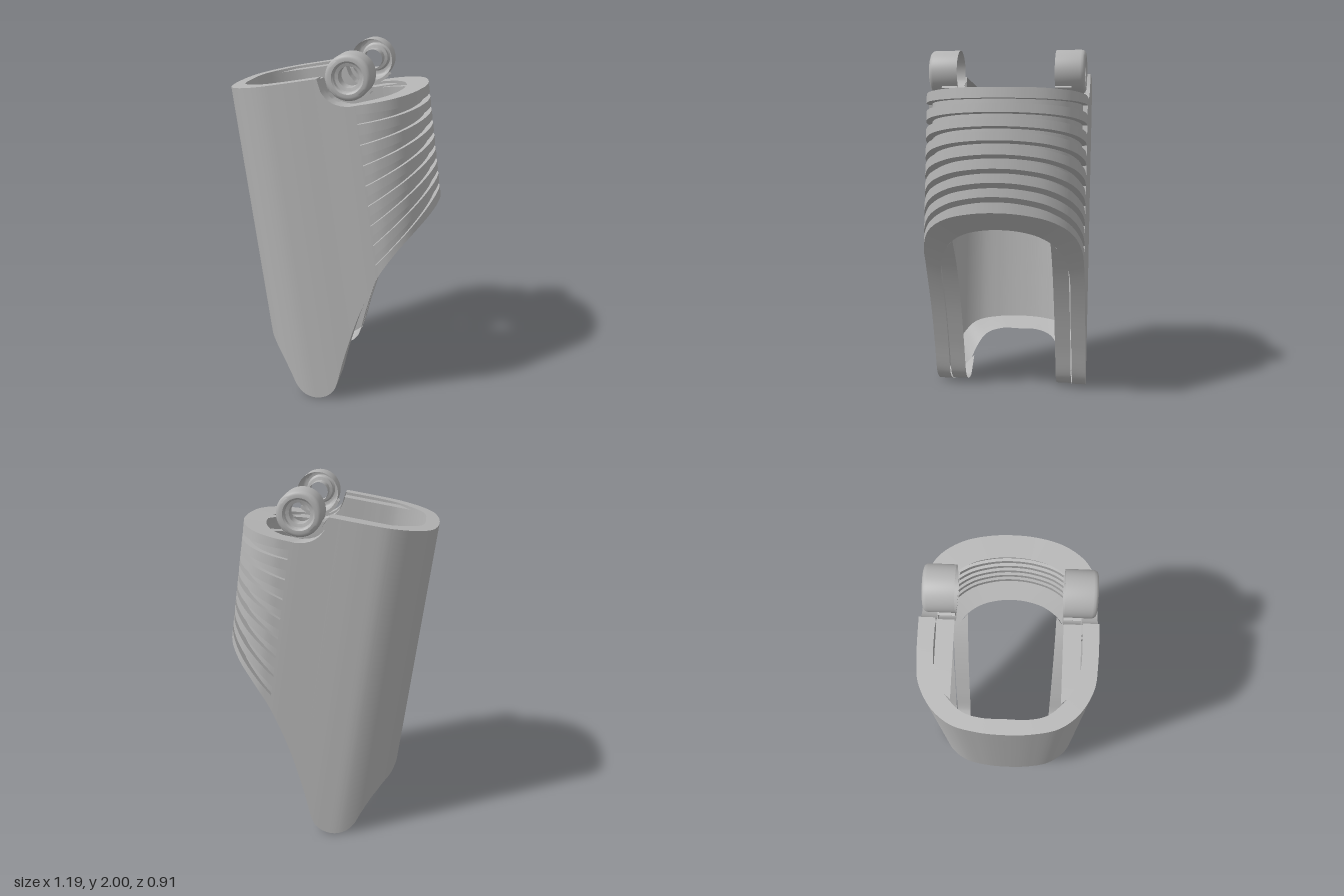
import * as THREE from 'three';
import { toCreasedNormals } from 'three/addons/utils/BufferGeometryUtils.js';

// The sleeve leans: x = u - LEAN * y, where u is constant along each wall line.
const LEAN = 0.138;
const lerp = THREE.MathUtils.lerp;

// Turns side-profile points (x, y) into a height function of u.
function heightOf(points, smooth) {
  const vs = points.map(([x, y]) => new THREE.Vector2(x + LEAN * y, y));
  const pts = smooth ? new THREE.SplineCurve(vs).getPoints(150) : vs;
  return (u) => {
    if (u <= pts[0].x) return pts[0].y;
    for (let i = 1; i < pts.length; i++) {
      const a = pts[i - 1], b = pts[i];
      if (u <= b.x) return lerp(a.y, b.y, (u - a.x) / (b.x - a.x || 1));
    }
    return pts[pts.length - 1].y;
  };
}

const rim = heightOf([
  [-0.6, 1.772], [-0.03, 1.87], [-0.022, 1.83], [-0.005, 1.795], [0.025, 1.762], [0.06, 1.742],
  [0.1, 1.732], [0.14, 1.73], [0.2, 1.742], [0.48, 1.79],
], false);
const hem = heightOf([
  [-0.4, 0.32], [-0.34, 0.285], [-0.3, 0.245], [-0.26, 0.198], [-0.21, 0.12], [-0.17, 0.05],
  [-0.12, 0.012], [-0.06, 0], [0, 0.012], [0.045, 0.045], [0.075, 0.1], [0.12, 0.28], [0.2, 0.54],
  [0.3, 0.775], [0.4, 0.93], [0.5, 1.045], [0.59, 1.13],
], true);

// Half cross-sections (u, z), from the back round to the ribbed face
const OUTER = [[-0.356, 0], [-0.347, 0.14], [-0.314, 0.27], [-0.235, 0.37], [-0.11, 0.438],
  [0.02, 0.453], [0.228, 0.455], [0.415, 0.455], [0.505, 0.446], [0.61, 0.393], [0.693, 0.28],
  [0.735, 0.135], [0.746, 0]];
const INNER = [[-0.276, 0], [-0.274, 0.12], [-0.25, 0.21], [-0.18, 0.29], [-0.09, 0.35],
  [0.02, 0.37], [0.228, 0.37], [0.39, 0.37], [0.46, 0.345], [0.53, 0.29], [0.585, 0.2],
  [0.612, 0.1], [0.62, 0]];
const STEPS = 16; // columns between control points
const COUNT = 24 * STEPS;

function ring(half) {
  const back = half.slice(1, -1).reverse().map(([u, z]) => [u, -z]);
  const pts = [...half, ...back].map(([u, z]) => new THREE.Vector3(u, 0, z));
  const curve = new THREE.CatmullRomCurve3(pts, true, 'centripetal');
  return Array.from({ length: COUNT }, (_, i) => {
    const p = curve.getPoint(i / COUNT);
    return [p.x, p.z];
  });
}

// Part of a ring from one column to another, wrapping round
const arc = (path, from, to) =>
  Array.from({ length: to - from + 1 }, (_, j) => path[(from + j) % COUNT]);

// Thin sheet between path a at height fa and path b at height fb
function sheet(a, fa, b, fb) {
  const at = ([u, z], f) => { const y = f(u); return [u - LEAN * y, y, z]; };
  const lo = a.map((p) => at(p, fa)), hi = b.map((p) => at(p, fb));
  const pos = [];
  for (let j = 0; j < a.length - 1; j++) {
    pos.push(...lo[j], ...lo[j + 1], ...hi[j + 1], ...lo[j], ...hi[j + 1], ...hi[j]);
  }
  const g = new THREE.BufferGeometry();
  g.setAttribute('position', new THREE.Float32BufferAttribute(pos, 3));
  return toCreasedNormals(g, 0.5);
}

export function createModel() {
  const model = new THREE.Group();
  model.name = 'hingedSleeve';
  const grey = new THREE.MeshStandardMaterial({ color: 0xb4b4b4, side: THREE.DoubleSide });
  grey.name = 'plain grey';
  const add = (name, geometry) => {
    const mesh = new THREE.Mesh(geometry, grey);
    mesh.name = name;
    model.add(mesh);
    return mesh;
  };

  const outer = ring(OUTER), inner = ring(INNER);
  const floor = outer.map(([u, z], j) => [lerp(u, inner[j][0], 0.32), lerp(z, inner[j][1], 0.32)]);

  // Flanges that turn inwards at the rim and the hem
  const outerLoop = arc(outer, 0, COUNT), innerLoop = arc(inner, 0, COUNT);
  add('rimFlange', sheet(outerLoop, rim, innerLoop, rim));
  add('hemFlange', sheet(innerLoop, hem, outerLoop, hem));

  // Plain skin round the back
  const first = 7 * STEPS, last = 17 * STEPS;
  const plain = arc(outer, last, COUNT + first);
  add('plainSkin', sheet(plain, hem, plain, rim));

  // Ribs at the front, with sunken grooves between them
  const SLOTS = 8;
  const slotEdge = (i, side) => (u) => {
    const t = (u - 0.415) / 0.325;
    return lerp(1.665 - 0.111 * i, 1.72 - 0.075 * i, t) + side * lerp(0.027, 0.014, t);
  };
  const out = arc(outer, first, last), deep = arc(floor, first, last);
  for (let i = 0; i <= SLOTS; i++) {
    const top = i === 0 ? rim : slotEdge(i - 1, -1);
    const bottom = i === SLOTS ? hem : slotEdge(i, 1);
    add('rib' + (i + 1), sheet(out, bottom, out, top));
  }
  for (let i = 0; i < SLOTS; i++) {
    const low = slotEdge(i, -1), high = slotEdge(i, 1);
    const name = 'groove' + (i + 1);
    add(name + 'Floor', sheet(deep, low, deep, high));
    add(name + 'LowerSide', sheet(out, low, deep, low));
    add(name + 'UpperSide', sheet(deep, high, out, high));
    for (const [end, pair] of [['FrontEnd', [outer[first], floor[first]]],
      ['RearEnd', [floor[last], outer[last]]]]) {
      add(name + end, sheet(pair, low, pair, high));
    }
  }

  // Hollow hinge ring profile (radius, depth), open on its inner face
  const ringProfile = [[0.123, 0], [0.123, 0.14], [0.12, 0.152], [0.113, 0.161], [0.102, 0.165],
    [0.086, 0.165], [0.077, 0.158], [0.075, 0.13], [0.057, 0.125], [0.057, 0.04],
  ].map(([r, h]) => new THREE.Vector2(r, h));

  // Curved cradle under each hinge ring
  const cradle = new THREE.Shape();
  const a0 = Math.PI * 1.12, a1 = Math.PI * 1.78;
  cradle.absarc(0, 0, 0.138, a0, a1, false);
  cradle.absarc(0, 0, 0.12, a1, a0, true);

  for (const s of [1, -1]) {
    const side = s > 0 ? 'front' : 'rear';

    // Inner arm strips, just inside the flanges
    const far = [[-0.11, s * 0.364]], near = [[-0.185, s * 0.275]];
    for (let j = 0; j <= 90; j++) {
      const u = lerp(-0.1, 0.45, j / 90);
      far.push([u, s * 0.366]);
      near.push([u, s * 0.275]);
    }
    far.push([0.46, s * 0.36]);
    near.push([0.54, s * 0.275]);
    const armTop = (u) => rim(u) - 0.015;
    const armHem = (u) => hem(u) + 0.004;
    add(side + 'ArmTop', sheet(far, armTop, near, armTop));
    add(side + 'ArmHem', sheet(near, armHem, far, armHem));

    // Cradle and hinge ring on top of the arm
    const lug = add(side + 'HingeCradle', new THREE.ExtrudeGeometry(cradle,
      { depth: 0.09, bevelEnabled: false, curveSegments: 24 }));
    lug.position.set(0.13, 1.877, s > 0 ? 0.276 : -0.366);
    const hinge = new THREE.LatheGeometry(ringProfile, 48);
    hinge.rotateX(s * Math.PI / 2);
    const knob = add(side + 'HingeRing', toCreasedNormals(hinge, 0.6));
    knob.position.set(0.13, 1.877, s * 0.275);
  }
  return model;
}
